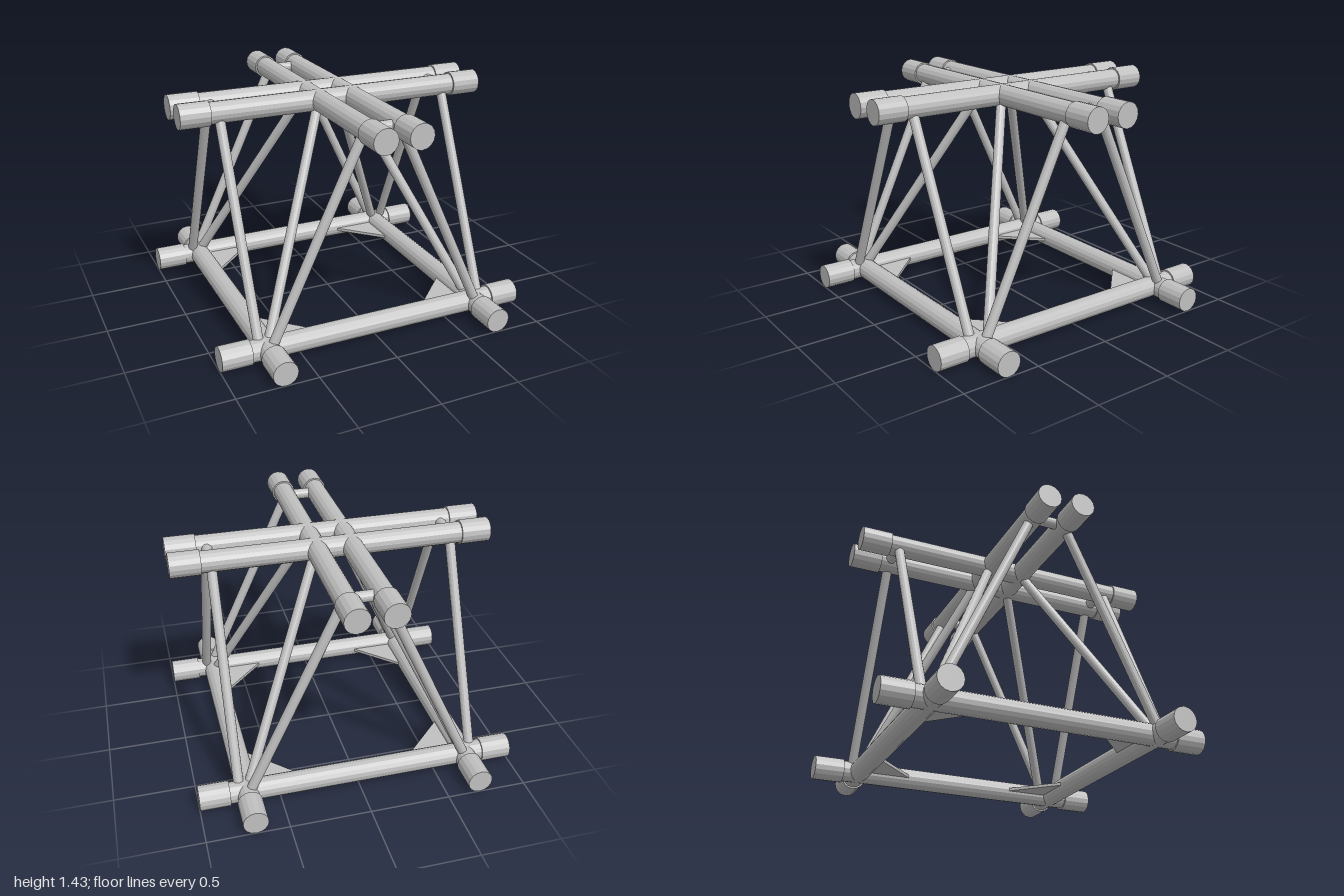
import * as THREE from 'three';

const V = (x, y, z) => new THREE.Vector3(x, y, z);

export function createModel() {
  const model = new THREE.Group();
  model.name = 'tubeFrame';
  const steel = new THREE.MeshStandardMaterial({ color: 0xc0c0c0, flatShading: true });
  steel.name = 'steelGrey';

  const lowY = 0.08, highY = 1.355;   // rail heights
  const wide = 0.703, narrow = 0.11;  // rail offsets below and above
  const outer = 0.75;                 // planes of the side struts
  const signs = [-1, 1];

  // Straight round bar between two points
  function bar(name, a, b, radius, sides = 16) {
    const d = b.clone().sub(a);
    const mesh = new THREE.Mesh(new THREE.CylinderGeometry(radius, radius, d.length(), sides), steel);
    mesh.position.copy(a).add(b).multiplyScalar(0.5);
    mesh.quaternion.setFromUnitVectors(V(0, 1, 0), d.normalize());
    mesh.name = name;
    model.add(mesh);
  }

  // Each assembly is built along x, then again along z with the axes swapped
  for (const swap of [false, true]) {
    const P = (x, y, z) => (swap ? V(z, y, x) : V(x, y, z));
    for (const s of signs) {
      // Long rails with thicker end sleeves
      for (const [name, y, off] of [['lowerRail', lowY, wide], ['upperRail', highY, narrow]]) {
        bar(name, P(-0.9, y, s * off), P(0.9, y, s * off), 0.067);
        for (const e of signs) {
          bar(name + 'Sleeve', P(e * 0.812, y, s * off), P(e, y, s * off), 0.077);
        }
      }
      // Short spacer joining the paired upper rails near their ends
      bar('spacer', P(-narrow, highY, s * outer), P(narrow, highY, s * outer), 0.034);
      // Sloping struts in the side planes
      for (const e of signs) {
        bar('sideStrut', P(e * wide, lowY, s * outer), P(e * narrow, highY, s * outer), 0.031);
      }
    }
  }

  // Corner struts up to the central crossing, and gusset plates in the lower corners
  const triangle = new THREE.Shape([
    new THREE.Vector2(wide, wide),
    new THREE.Vector2(0.305, wide),
    new THREE.Vector2(wide, 0.305),
  ]);
  const plate = new THREE.ExtrudeGeometry(triangle, { depth: 0.02, bevelEnabled: false });
  plate.rotateX(Math.PI / 2);
  let turn = 0;
  for (const [sx, sz] of [[1, 1], [1, -1], [-1, -1], [-1, 1]]) {
    const footZ = sx > 0 && sz > 0 ? 0.64 : wide; // one strut is set slightly inward
    bar('cornerStrut', V(sx * wide, lowY, sz * footZ), V(sx * narrow, highY, sz * narrow), 0.031);
    const gusset = new THREE.Mesh(plate, steel);
    gusset.name = 'gusset';
    gusset.position.y = lowY + 0.01;
    gusset.rotation.y = turn++ * Math.PI / 2;
    model.add(gusset);
  }
  return model;
}
